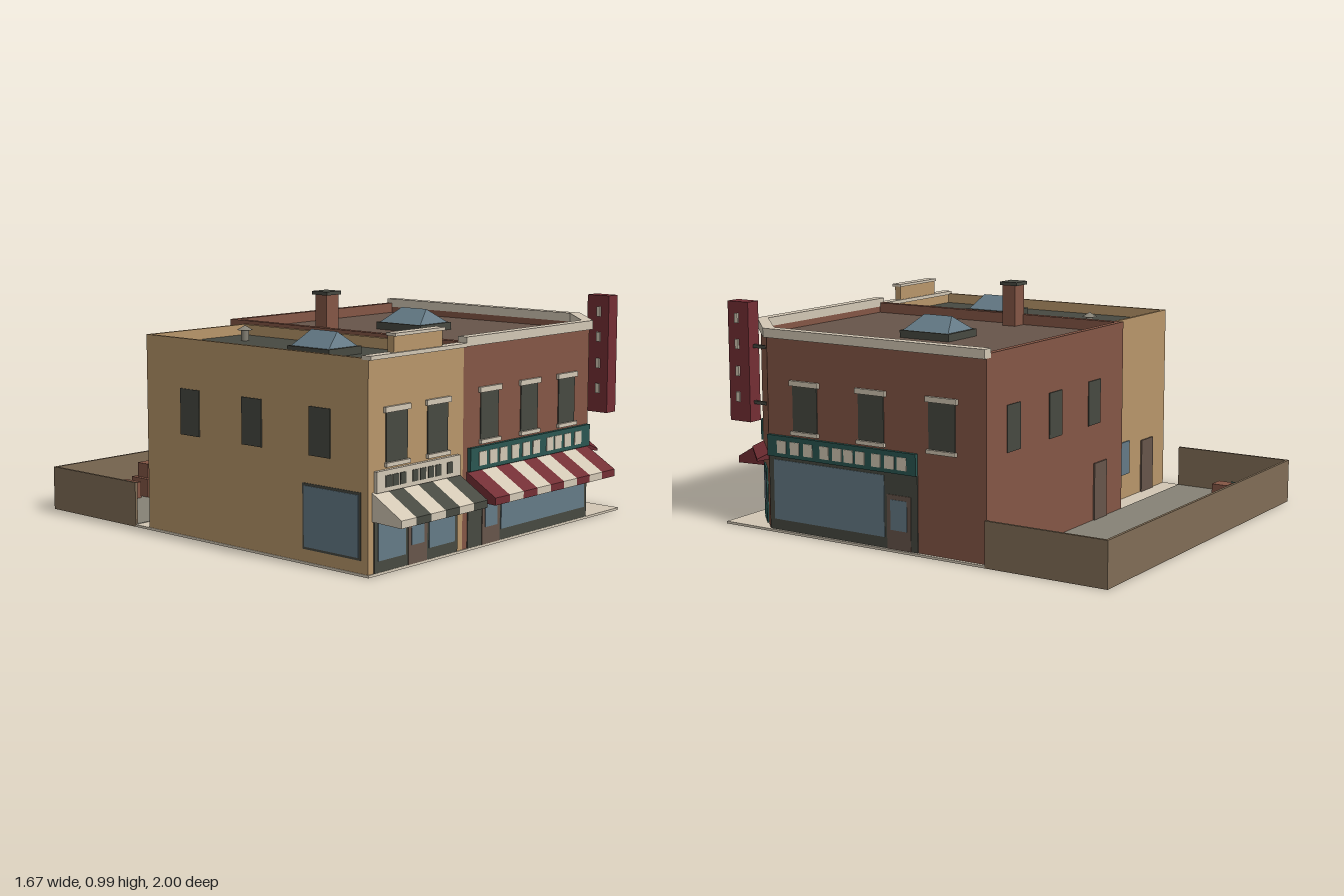
import * as THREE from 'three';

const material = (name, color) => {
  const m = new THREE.MeshStandardMaterial({ color });
  m.name = name;
  return m;
};
const M = {
  tan: material('tanPlaster', 0xb8966a), brick: material('redBrick', 0x845645),
  cream: material('creamTrim', 0xd2c7b4), red: material('darkRed', 0x732e34),
  teal: material('teal', 0x2a5651), glass: material('glass', 0x647a86),
  dark: material('charcoal', 0x474941), brown: material('brown', 0x67554a),
  fence: material('fenceBrown', 0x806d56), grey: material('concrete', 0x868276),
};

function add(parent, name, geo, mat, x = 0, y = 0, z = 0) {
  const mesh = new THREE.Mesh(geo, mat);
  mesh.name = name;
  mesh.position.set(x, y, z);
  parent.add(mesh);
  return mesh;
}

// Box given by its extents
function block(parent, name, mat, x0, x1, y0, y1, z0, z1) {
  return add(parent, name, new THREE.BoxGeometry(x1 - x0, y1 - y0, z1 - z0), mat,
    (x0 + x1) / 2, (y0 + y1) / 2, (z0 + z1) / 2);
}

// Upright prism over a plan of [x, z] points, optionally hollow
function prism(parent, name, mat, plan, y0, y1, hole) {
  const pts = (p) => p.map(([x, z]) => new THREE.Vector2(x, -z));
  const shape = new THREE.Shape(pts(plan));
  if (hole) shape.holes.push(new THREE.Path(pts(hole)));
  const geo = new THREE.ExtrudeGeometry(shape, { depth: y1 - y0, bevelEnabled: false });
  return add(parent, name, geo.rotateX(-Math.PI / 2), mat, 0, y0, 0);
}

// Profile of [outward, y] points swept sideways from x0 to x1
function sweep(parent, name, mat, profile, x0, x1) {
  const shape = new THREE.Shape(profile.map(([a, b]) => new THREE.Vector2(a, b)));
  const geo = new THREE.ExtrudeGeometry(shape, { depth: x1 - x0, bevelEnabled: false });
  return add(parent, name, geo.rotateY(-Math.PI / 2), mat, x1, 0, 0);
}

// Group lying on a wall: local x runs along it, local z points outward
function wall(root, name, x, z, angle) {
  const g = new THREE.Group();
  g.name = name;
  g.position.set(x, 0, z);
  g.rotation.y = angle;
  root.add(g);
  return g;
}
const plate = (g, name, mat, x0, x1, y0, y1, out = 0.006) =>
  block(g, name, mat, x0, x1, y0, y1, -0.002, out);

function upperWindow(g, x, y0, y1, w, trim = true) {
  plate(g, 'window', M.dark, x - w / 2, x + w / 2, y0, y1, 0.004);
  if (!trim) return;
  plate(g, 'lintel', M.cream, x - w / 2 - 0.012, x + w / 2 + 0.012, y1, y1 + 0.022, 0.012);
  plate(g, 'sill', M.cream, x - w / 2 - 0.007, x + w / 2 + 0.007, y0 - 0.016, y0, 0.014);
}

function door(g, x0, x1, top, mat, glassBottom, glassTop) {
  plate(g, 'door', mat, x0, x1, 0.01, top, 0.007);
  if (glassTop) plate(g, 'doorGlass', M.glass, x0 + 0.018, x1 - 0.018, glassBottom, glassTop, 0.009);
}

// Fascia board with plain decorative panels
function fascia(g, x0, x1, y0, y1, mat, panelMat, starts, w) {
  plate(g, 'fascia', mat, x0, x1, y0, y1, 0.016);
  for (const s of starts) plate(g, 'fasciaPanel', panelMat, s, s + w, y0 + 0.017, y1 - 0.02, 0.019);
}

function awning(g, x0, x1, count, mats) {
  const w = (x1 - x0) / count;
  const profile = [[0, 0.21], [0.145, 0.205], [0.145, 0.235], [0, 0.32]];
  for (let i = 0; i < count; i++)
    sweep(g, 'awningStripe', mats[i % 2], profile, x0 + i * w, x0 + (i + 1) * w);
}

function skylight(root, x, z, y, w, d) {
  block(root, 'skylightCurb', M.dark, x - w / 2, x + w / 2, y, y + 0.032, z - d / 2, z + d / 2);
  const gw = w - 0.02, gd = d - 0.02;
  let geo = new THREE.BoxGeometry(gw, 0.062, gd);
  const p = geo.attributes.position;
  for (let i = 0; i < p.count; i++)
    if (p.getY(i) > 0) p.setXYZ(i, 0, p.getY(i), Math.sign(p.getZ(i)) * 0.07);
  geo = geo.toNonIndexed();
  geo.computeVertexNormals();
  add(root, 'skylightGlass', geo, M.glass, x, y + 0.062, z);
}

export function createModel() {
  const root = new THREE.Group();
  root.name = 'cornerShops';

  // Ground
  block(root, 'pavement', M.cream, -0.835, 0.83, 0, 0.01, -0.455, 0.86);
  block(root, 'yardFloor', M.grey, -0.83, 0.825, 0, 0.012, -0.995, -0.455);

  // Yard walls
  block(root, 'yardBackWall', M.fence, -0.835, 0.83, 0, 0.19, -1, -0.988);
  block(root, 'yardSideWall', M.fence, -0.835, -0.823, 0, 0.19, -0.988, -0.455);
  block(root, 'yardSideWall', M.fence, 0.818, 0.83, 0, 0.19, -0.988, -0.455);

  // Tan shop body
  prism(root, 'tanWalls', M.tan, [[-0.832, 0.855], [-0.27, 0.855], [-0.27, -0.37], [-0.832, -0.37]],
    0.005, 0.825, [[-0.817, 0.83], [-0.285, 0.83], [-0.285, -0.355], [-0.817, -0.355]]);
  block(root, 'tanRoof', M.dark, -0.82, -0.28, 0.76, 0.78, -0.36, 0.84);
  block(root, 'tanCornice', M.cream, -0.835, -0.271, 0.82, 0.836, 0.825, 0.87);
  block(root, 'raisedParapet', M.tan, -0.695, -0.41, 0.83, 0.9, 0.83, 0.86);
  block(root, 'raisedParapetCap', M.cream, -0.7, -0.405, 0.898, 0.91, 0.825, 0.872);

  // Brick shop body with cut corner
  prism(root, 'brickWalls', M.brick,
    [[-0.27, 0.855], [0.585, 0.855], [0.815, 0.63], [0.815, -0.455], [-0.27, -0.455]], 0.005, 0.84,
    [[-0.24, 0.825], [0.57, 0.825], [0.785, 0.615], [0.785, -0.428], [-0.24, -0.428]]);
  prism(root, 'brickRoof', M.brown,
    [[-0.25, 0.83], [0.575, 0.83], [0.79, 0.62], [0.79, -0.44], [-0.25, -0.44]], 0.775, 0.795);
  prism(root, 'brickCornice', M.cream,
    [[-0.27, 0.87], [0.59, 0.87], [0.83, 0.636], [0.83, -0.456], [0.784, -0.456],
      [0.784, 0.614], [0.57, 0.824], [-0.27, 0.824]], 0.822, 0.86);

  // Roof fittings
  skylight(root, 0.275, 0.14, 0.795, 0.21, 0.25);
  skylight(root, -0.552, 0.373, 0.78, 0.19, 0.225);
  block(root, 'chimney', M.brick, -0.245, -0.17, 0.76, 0.978, 0.035, 0.1);
  block(root, 'chimneyCap', M.dark, -0.252, -0.163, 0.975, 0.99, 0.022, 0.108);
  add(root, 'roofVent', new THREE.CylinderGeometry(0.017, 0.017, 0.05, 8), M.grey, -0.44, 0.805, -0.19);
  add(root, 'roofVentCap', new THREE.ConeGeometry(0.034, 0.02, 8), M.grey, -0.44, 0.835, -0.19);

  // Street fronts
  const front = wall(root, 'frontFacade', 0, 0.855, 0);
  for (const x of [-0.672, -0.43]) upperWindow(front, x, 0.425, 0.615, 0.123);
  for (const x of [-0.105, 0.16, 0.422]) upperWindow(front, x, 0.44, 0.63, 0.115);

  plate(front, 'tanShopfront', M.dark, -0.8, -0.305, 0.01, 0.32, 0.004);
  for (const [a, b] of [[-0.78, -0.622], [-0.482, -0.325]])
    plate(front, 'shopWindow', M.glass, a, b, 0.055, 0.3, 0.007);
  door(front, -0.606, -0.495, 0.3, M.brown, 0.085, 0.25);
  fascia(front, -0.8, -0.305, 0.318, 0.4, M.cream, M.dark,
    [-0.753, -0.712, -0.668, -0.597, -0.552, -0.504, -0.459, -0.388], 0.034);
  awning(front, -0.81, -0.295, 6, [M.cream, M.dark]);

  plate(front, 'brickShopfront', M.dark, -0.24, 0.58, 0.01, 0.33, 0.004);
  plate(front, 'shopWindow', M.glass, -0.025, 0.56, 0.055, 0.31, 0.007);
  door(front, -0.15, -0.035, 0.3, M.brown, 0.08, 0.25);
  fascia(front, -0.24, 0.58, 0.322, 0.415, M.teal, M.cream,
    [-0.187, -0.12, -0.053, 0.026, 0.099, 0.17, 0.265, 0.323, 0.39, 0.466], 0.048);
  awning(front, -0.245, 0.582, 9, [M.red, M.cream]);

  // Right side street front
  const right = wall(root, 'rightFacade', 0.815, 0, Math.PI / 2);
  for (const x of [-0.433, -0.096, 0.248]) upperWindow(right, x, 0.44, 0.63, 0.126);
  plate(right, 'sideShopfront', M.dark, -0.625, 0.13, 0.01, 0.33, 0.004);
  plate(right, 'shopWindow', M.glass, -0.6, -0.032, 0.055, 0.31, 0.007);
  door(right, -0.018, 0.098, 0.235, M.brown, 0.09, 0.215);
  fascia(right, -0.625, 0.13, 0.325, 0.415, M.teal, M.cream,
    [-0.572, -0.503, -0.433, -0.348, -0.282, -0.225, -0.166, -0.086, -0.02, 0.04], 0.046);

  // Cut corner: entrance and canopy
  const corner = wall(root, 'cornerEntrance', 0.7, 0.7425, Math.atan2(0.225, 0.23));
  door(corner, -0.062, 0.068, 0.245, M.teal, 0.09, 0.22);
  sweep(corner, 'cornerCanopy', M.red, [[0, 0.3], [0.05, 0.292], [0.05, 0.302], [0, 0.325]], -0.14, 0.14);

  // Blade sign with side panels and brackets
  block(root, 'bladeSign', M.red, 0.722, 0.788, 0.445, 0.955, 0.75, 0.86);
  for (const y of [0.55, 0.66, 0.775, 0.885])
    block(root, 'bladeSignPanel', M.cream, 0.714, 0.796, y - 0.021, y + 0.021, 0.802, 0.82);
  for (const y of [0.52, 0.76])
    block(root, 'bladeSignBracket', M.dark, 0.748, 0.762, y, y + 0.014, 0.67, 0.752);

  // Rear and left walls
  const brickBack = wall(root, 'brickBackWall', 0, -0.455, Math.PI);
  for (const x of [-0.62, -0.3, 0.02]) upperWindow(brickBack, x, 0.43, 0.62, 0.1, false);
  door(brickBack, 0.02, 0.125, 0.26, M.brown);
  const tanBack = wall(root, 'tanBackWall', 0, -0.37, Math.PI);
  plate(tanBack, 'backWindow', M.glass, 0.35, 0.49, 0.12, 0.27);
  door(tanBack, 0.605, 0.715, 0.25, M.brown);
  const left = wall(root, 'leftWall', -0.832, 0, -Math.PI / 2);
  for (const x of [-0.11, 0.245, 0.61]) upperWindow(left, x, 0.43, 0.62, 0.11, false);
  plate(left, 'sideWindowFrame', M.dark, 0.52, 0.82, 0.06, 0.32, 0.003);
  plate(left, 'sideWindow', M.glass, 0.53, 0.81, 0.07, 0.31, 0.006);

  // Yard clutter
  const barrel = new THREE.CylinderGeometry(0.032, 0.032, 0.09, 6).rotateY(Math.PI / 6);
  for (const [x, z, mat] of [[0.605, -0.515, M.grey], [0.685, -0.515, M.grey], [0.765, -0.515, M.grey],
    [-0.62, -0.91, M.red], [-0.64, -0.83, M.teal]])
    add(root, 'barrel', barrel, mat, x, 0.055, z);
  block(root, 'crate', M.brick, -0.548, -0.453, 0.01, 0.085, -0.953, -0.858);
  block(root, 'crate', M.brick, -0.428, -0.318, 0.01, 0.095, -0.95, -0.84);
  block(root, 'smallCrate', M.brick, -0.408, -0.338, 0.095, 0.16, -0.93, -0.86);
  return root;
}
